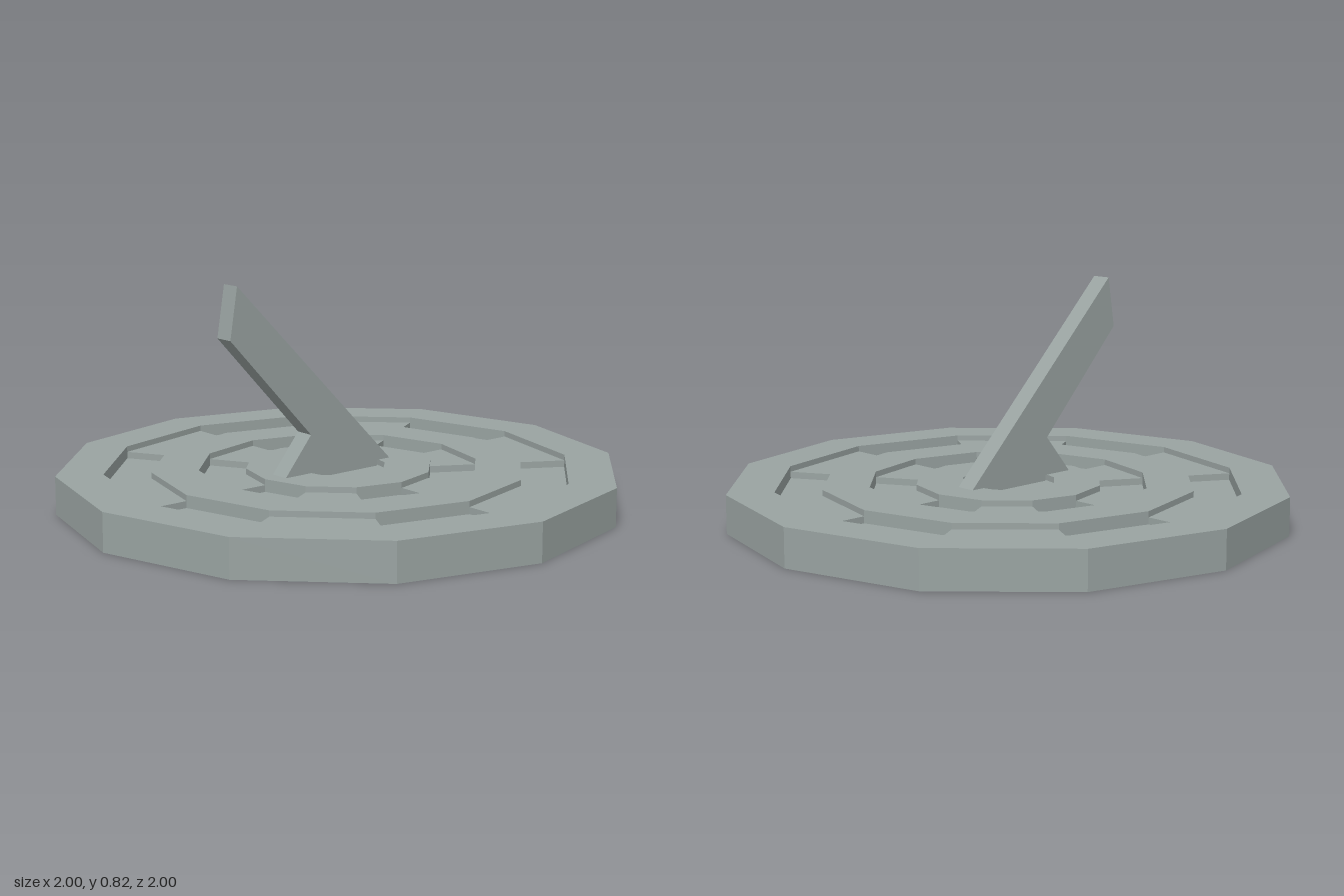
import * as THREE from 'three';

const SIDES = 12;
const TOP = 0.137;      // rim level
const SHALLOW = 0.116;  // raised cell floor and centre well
const DEEP = 0.092;     // sunken cell floor
const STEP = 1 / 6;     // width of every ring

const material = new THREE.MeshStandardMaterial({ color: 0x99a3a1, flatShading: true });

function addMesh(parent, name, geometry) {
  const mesh = new THREE.Mesh(geometry, material);
  mesh.name = name;
  parent.add(mesh);
  return mesh;
}

// One wedge of a ring between two corner directions, filling a cell up to SHALLOW
function cellGeometry(inner, outer, index) {
  const corner = (r, i) => {
    const a = (i * Math.PI * 2) / SIDES;
    return new THREE.Vector2(r * Math.sin(a), -r * Math.cos(a));
  };
  const shape = new THREE.Shape([
    corner(inner, index), corner(outer, index),
    corner(outer, index + 1), corner(inner, index + 1),
  ]);
  const geometry = new THREE.ExtrudeGeometry(shape, { depth: SHALLOW - DEEP, bevelEnabled: false });
  return geometry.rotateX(-Math.PI / 2).translate(0, DEEP, 0);
}

export function createModel() {
  const model = new THREE.Group();
  model.name = 'sundial';

  // Twelve-sided plate with two sunken rings and a centre well
  const profile = [
    [0, 0], [1, 0], [1, TOP],
    [5 * STEP, TOP], [5 * STEP, DEEP], [4 * STEP, DEEP], [4 * STEP, TOP],
    [3 * STEP, TOP], [3 * STEP, DEEP], [2 * STEP, DEEP], [2 * STEP, TOP],
    [STEP, TOP], [STEP, SHALLOW], [0, SHALLOW],
  ].map(([r, y]) => new THREE.Vector2(r, y));
  addMesh(model, 'dialPlate', new THREE.LatheGeometry(profile, SIDES));

  // Every second cell of each ring is raised part of the way
  const cells = new THREE.Group();
  cells.name = 'hourCells';
  for (const ring of [2, 4]) {
    for (let i = 0; i < SIDES; i += 2) {
      addMesh(cells, 'hourCell', cellGeometry(ring * STEP, (ring + 1) * STEP, i));
    }
  }
  model.add(cells);

  // Slanted pointer with its foot reaching down into the centre well
  const outline = [
    [0.208, TOP], [-0.473, 0.825], [-0.503, 0.644], [-0.157, 0.274], [-0.27, TOP],
    [-0.15, TOP], [-0.15, SHALLOW], [0.15, SHALLOW], [0.15, TOP],
  ].map(([x, y]) => new THREE.Vector2(x, y));
  const width = 0.072;
  const pointer = new THREE.ExtrudeGeometry(new THREE.Shape(outline), { depth: width, bevelEnabled: false });
  addMesh(model, 'pointer', pointer.translate(0, 0, -width / 2));

  return model;
}
